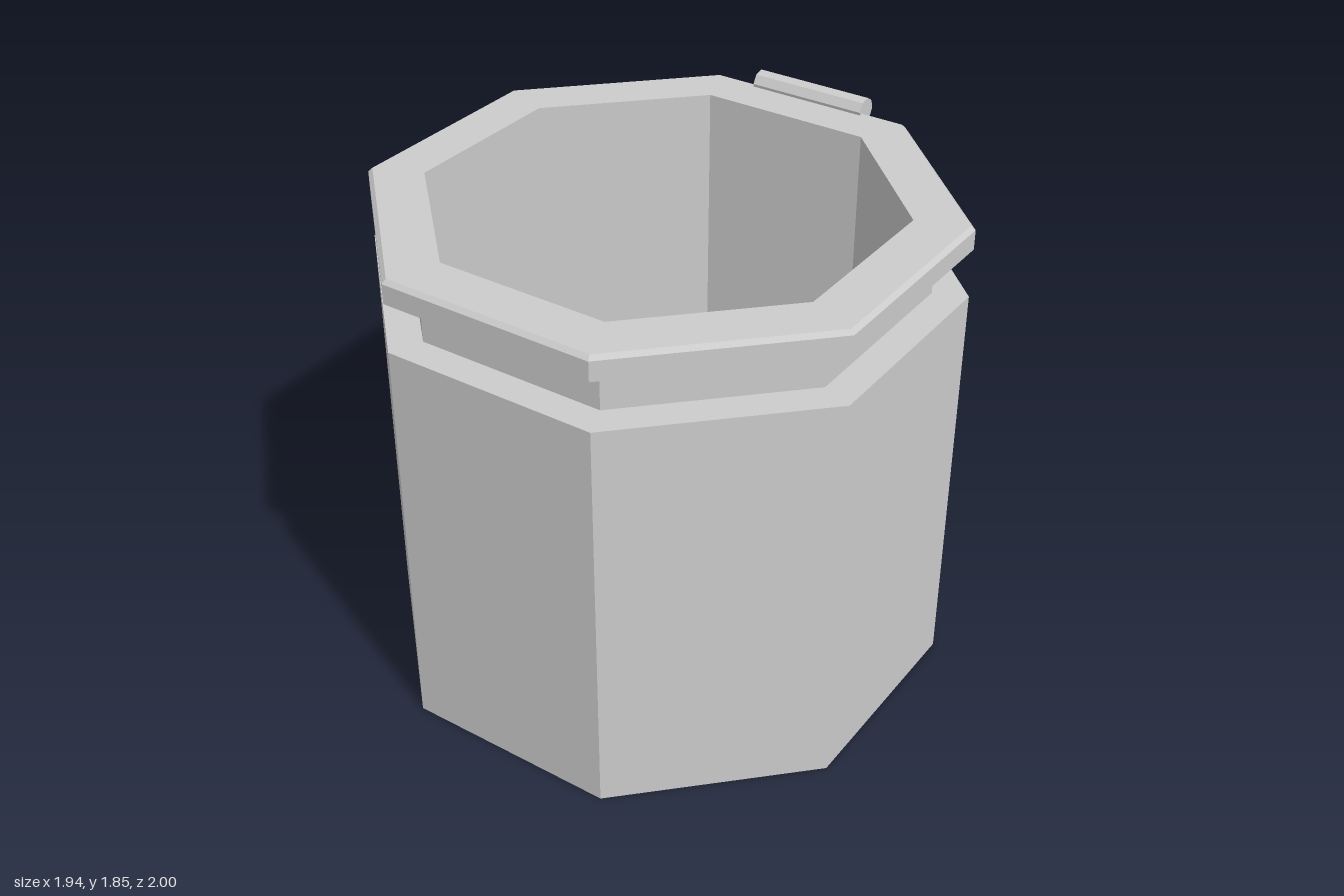
import * as THREE from 'three';

const material = new THREE.MeshStandardMaterial({ color: 0xcccccc, flatShading: true });

// Eight-sided ring or solid from [apothem, height] points, with a flat side to the front
function octagon(name, profile) {
  const points = profile.map(([a, y]) => new THREE.Vector2(a / Math.cos(Math.PI / 8), y));
  const mesh = new THREE.Mesh(new THREE.LatheGeometry(points, 8, Math.PI / 8), material);
  mesh.name = name;
  mesh.position.z = 0.03;
  return mesh;
}

export function createModel() {
  const model = new THREE.Group();
  model.name = 'octagonalJar';

  // Container wall with its base and shoulder
  model.add(octagon('body', [[0, 0], [0.97, 0], [0.97, 1.53], [0.855, 1.53]]));

  // Recessed neck
  model.add(octagon('neck', [[0.855, 1.53], [0.855, 1.71]]));

  // Overhanging rim with a small bevel
  model.add(octagon('rim', [[0.855, 1.71], [0.97, 1.71], [0.97, 1.782], [0.955, 1.797], [0.78, 1.797]]));

  // Inner walls and floor
  model.add(octagon('cavity', [[0.78, 1.797], [0.78, 0.1], [0, 0.1]]));

  // Hinge pin on the back edge
  const pin = new THREE.CylinderGeometry(0.048, 0.048, 0.46, 8);
  pin.rotateY(THREE.MathUtils.degToRad(10));
  pin.rotateZ(Math.PI / 2);
  const hinge = new THREE.Mesh(pin, material);
  hinge.name = 'hingePin';
  hinge.position.set(0, 1.8, -0.952);
  model.add(hinge);

  return model;
}
